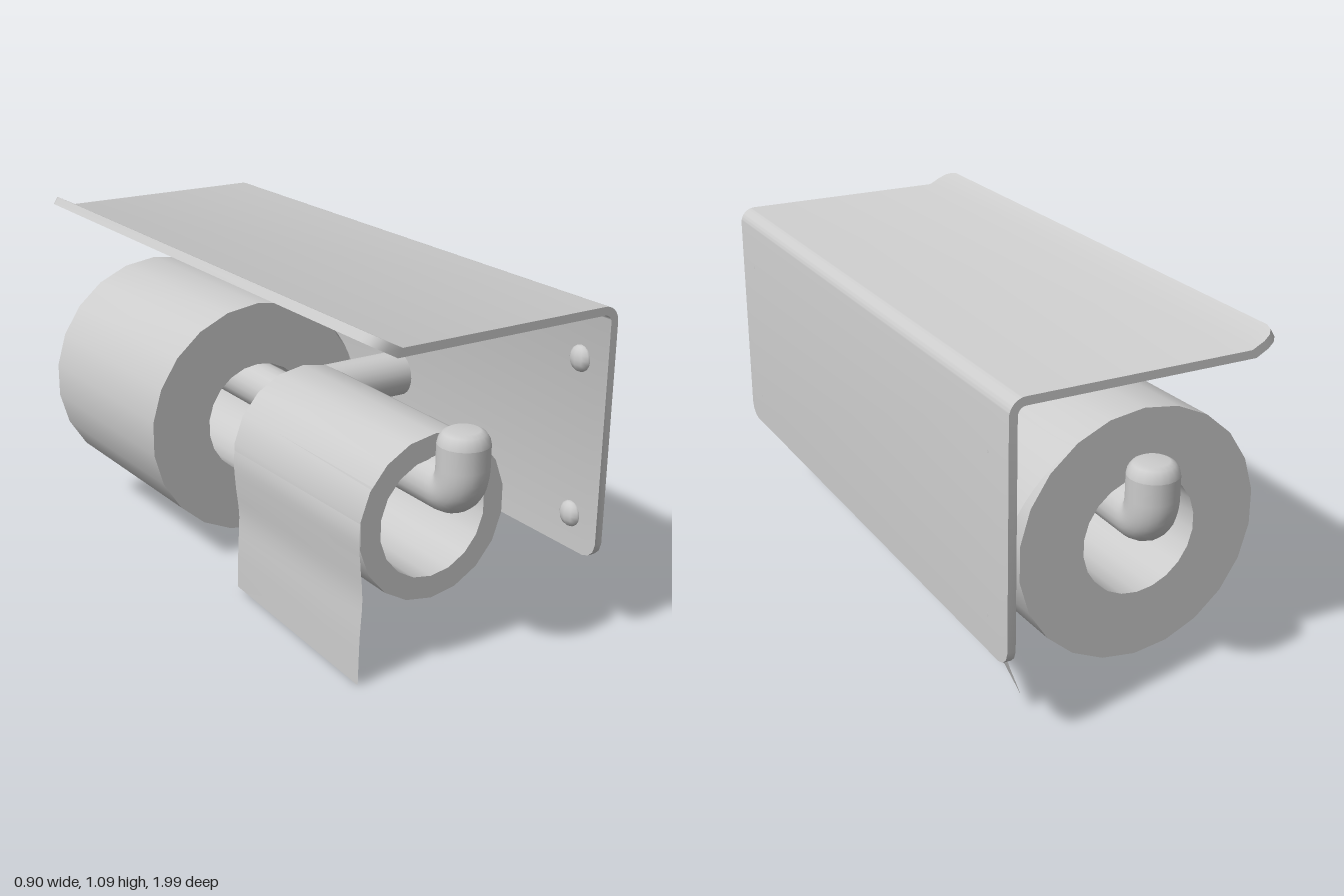
import * as THREE from 'three';
import { toCreasedNormals } from 'three/addons/utils/BufferGeometryUtils.js';

const grey = new THREE.MeshStandardMaterial({ color: 0xcccccc });
const thin = new THREE.MeshStandardMaterial({ color: 0xcccccc, side: THREE.DoubleSide });
const V = (x, y, z) => new THREE.Vector3(x, y, z);

function add(parent, name, geometry, material = grey) {
  const mesh = new THREE.Mesh(geometry, material);
  mesh.name = name;
  parent.add(mesh);
  return mesh;
}

// Moves every vertex of a geometry by a rule
function warp(geometry, rule) {
  const p = geometry.attributes.position;
  const v = new THREE.Vector3();
  for (let i = 0; i < p.count; i++) {
    rule(v.fromBufferAttribute(p, i));
    p.setXYZ(i, v.x, v.y, v.z);
  }
  geometry.computeVertexNormals();
  return geometry;
}

// Bent plate: wall, rounded bend, shelf and raised lip, with clipped corners
function bracketGeometry() {
  const s = new THREE.Shape();
  s.moveTo(0.425, 0.276);
  s.lineTo(0.45, 0.276);
  s.lineTo(0.45, 1.0);
  s.absarc(0.4, 1.0, 0.05, 0, Math.PI / 2, false);
  s.lineTo(-0.285, 1.05);
  s.lineTo(-0.367, 1.093);
  s.lineTo(-0.382, 1.069);
  s.lineTo(-0.3, 1.025);
  s.lineTo(0.4, 1.025);
  s.absarc(0.4, 1.0, 0.025, Math.PI / 2, 0, true);
  s.closePath();
  const stations = [-0.98, -0.972, -0.955, -0.93, 0.93, 0.955, 0.972, 0.98];
  const trims = [0.05, 0.025, 0.008, 0, 0, 0.008, 0.025, 0.05];
  const g = new THREE.ExtrudeGeometry(s, { depth: 7, steps: 7, bevelEnabled: false, curveSegments: 8 });
  warp(g, (v) => {
    const k = Math.round(v.z);
    v.z = stations[k];
    if (v.y < 0.3) v.y += trims[k];
    if (v.x < -0.35) {
      v.x += trims[k] * 0.88;
      v.y -= trims[k] * 0.47;
    }
  });
  return toCreasedNormals(g, 0.6);
}

// Hollow paper roll whose axis runs between two slightly offset end centres
function rollGeometry(inner, outer, from, to, sides) {
  const pts = [[inner, 0], [outer, 0], [outer, 1], [inner, 1], [inner, 0]]
    .map(([r, y]) => new THREE.Vector2(r, y));
  const g = new THREE.LatheGeometry(pts, sides).rotateX(Math.PI / 2);
  warp(g, (v) => {
    const c = from.clone().lerp(to, v.z);
    v.set(v.x + c.x, v.y + c.y, c.z);
  });
  return toCreasedNormals(g, 0.6);
}

// Loose sheet ruled between two edge curves
function sheetGeometry(edgeA, edgeB, zA, zB) {
  const curve = (pts, z) => new THREE.CatmullRomCurve3(pts.map(([x, y]) => V(x, y, z)));
  const a = curve(edgeA, zA);
  const b = curve(edgeB, zB);
  return warp(new THREE.PlaneGeometry(1, 1, 4, 18), (v) => {
    const t = THREE.MathUtils.clamp(0.5 - v.y, 0, 1);
    v.copy(a.getPoint(t).lerp(b.getPoint(t), v.x + 0.5));
  });
}

export function createModel() {
  const model = new THREE.Group();
  add(model, 'bracketPlate', bracketGeometry());

  // Arm and crossbar
  const R = 0.075, X = -0.028, Y = 0.575, Z = 0.92;
  const arm = add(model, 'wallArm', new THREE.CylinderGeometry(R, R, 0.46, 24));
  arm.rotation.z = Math.PI / 2;
  arm.position.set(0.2, Y, 0);

  for (const side of [1, -1]) {
    // Half bar turning up into an end post
    const path = new THREE.CurvePath();
    path.add(new THREE.LineCurve3(V(X, Y, 0), V(X, Y, side * (Z - 0.08))));
    path.add(new THREE.QuadraticBezierCurve3(
      V(X, Y, side * (Z - 0.08)), V(X, Y - 0.005, side * Z), V(X, Y + 0.08, side * Z)));
    path.add(new THREE.LineCurve3(V(X, Y + 0.08, side * Z), V(X, 0.72, side * Z)));
    const name = side > 0 ? 'front' : 'back';
    add(model, name + 'Bar', new THREE.TubeGeometry(path, 80, R, 20));

    // Rounded post top
    const cap = [[R, 0], [0.071, 0.018], [0.06, 0.033], [0.045, 0.041], [0, 0.041]]
      .map(([r, y]) => new THREE.Vector2(r, y));
    add(model, name + 'PostTop', new THREE.LatheGeometry(cap, 20)).position.set(X, 0.719, side * Z);

    // Screw heads on the inside of the wall
    for (const y of [0.868, 0.388]) {
      const head = add(model, 'screwHead', new THREE.SphereGeometry(0.04, 10, 8));
      head.scale.x = 0.65;
      head.position.set(0.425, y, side * 0.87);
    }
  }

  // Small roll with its hanging sheet
  add(model, 'smallRoll', rollGeometry(0.183, 0.252, V(-0.038, 0.468, 0.13), V(-0.038, 0.463, 0.81), 18));
  add(model, 'smallRollSheet', sheetGeometry(
    [[-0.25, 0.6], [-0.288, 0.48], [-0.285, 0.38], [-0.273, 0.27], [-0.278, 0.15], [-0.28, 0.02]],
    [[-0.25, 0.6], [-0.29, 0.48], [-0.285, 0.38], [-0.276, 0.27], [-0.283, 0.15], [-0.287, 0.002]],
    0.13, 0.81), thin);

  // Large roll with its sheet peeling away behind
  add(model, 'largeRoll', rollGeometry(0.185, 0.39, V(-0.066, 0.474, -0.81), V(-0.045, 0.467, -0.13), 22));
  add(model, 'largeRollSheet', sheetGeometry(
    [[0.1, 0.826], [0.23, 0.745], [0.315, 0.62], [0.347, 0.46], [0.31, 0.29], [0.198, 0.135]],
    [[0.1, 0.826], [0.24, 0.735], [0.34, 0.61], [0.395, 0.46], [0.367, 0.22], [0.312, 0.055]],
    -0.13, -0.81), thin);

  return model;
}
